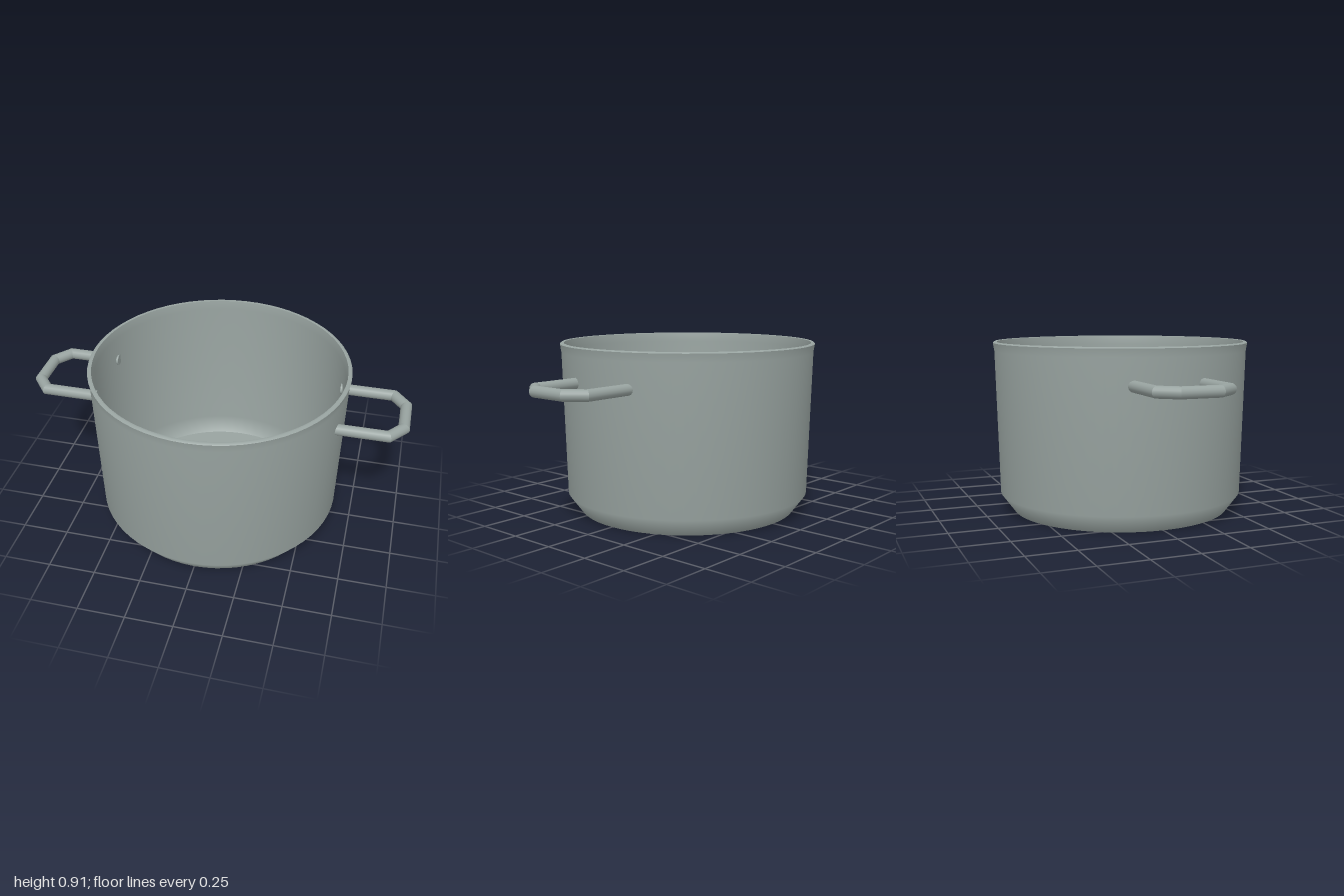
import * as THREE from 'three';

const SEGMENTS = 64;

// Surface of revolution from [radius, y] pairs
function lathe(name, profile, material) {
  const points = profile.map(([r, y]) => new THREE.Vector2(r, y));
  const mesh = new THREE.Mesh(new THREE.LatheGeometry(points, SEGMENTS), material);
  mesh.name = name;
  return mesh;
}

// Round bar along an [x, z] path with mitred corners and closed ends
function mitredBar(path, radius, sides) {
  const pts = path.map(([x, z]) => new THREE.Vector3(x, 0, z));
  const dirs = pts.slice(1).map((p, i) => p.clone().sub(pts[i]).normalize());
  const up = new THREE.Vector3(0, 1, 0);
  const position = [], normal = [], index = [];
  const add = (p, n) => {
    position.push(p.x, p.y, p.z);
    normal.push(n.x, n.y, n.z);
    return position.length / 3 - 1;
  };

  dirs.forEach((dir, i) => {
    const side = new THREE.Vector3().crossVectors(dir, up);
    const miters = [dirs[i - 1] || dir, dirs[i + 1] || dir].map(d => d.clone().add(dir).normalize());
    const start = position.length / 3;
    for (let k = 0; k <= sides; k++) {
      const a = (k / sides) * Math.PI * 2;
      const n = side.clone().multiplyScalar(Math.cos(a)).addScaledVector(up, Math.sin(a));
      miters.forEach((m, end) => {
        // Slide the ring point along the bar until it meets the mitre plane
        const slide = -radius * n.dot(m) / dir.dot(m);
        add(pts[i + end].clone().addScaledVector(n, radius).addScaledVector(dir, slide), n);
      });
      if (k < sides) {
        const b = start + k * 2;
        index.push(b, b + 2, b + 1, b + 1, b + 2, b + 3);
      }
    }
  });

  // End caps
  [0, pts.length - 1].forEach((e, last) => {
    const out = dirs[last ? dirs.length - 1 : 0].clone().multiplyScalar(last ? 1 : -1);
    const side = new THREE.Vector3().crossVectors(out, up);
    const centre = add(pts[e], out);
    for (let k = 0; k <= sides; k++) {
      const a = (k / sides) * Math.PI * 2;
      const n = side.clone().multiplyScalar(Math.cos(a)).addScaledVector(up, Math.sin(a));
      add(pts[e].clone().addScaledVector(n, radius), out);
      if (k < sides) index.push(centre, centre + 2 + k, centre + 1 + k);
    }
  });

  // Keep every face pointing the way its normals do
  const at = i => new THREE.Vector3().fromArray(position, i * 3);
  for (let t = 0; t < index.length; t += 3) {
    const [a, b, c] = index.slice(t, t + 3);
    const face = at(b).sub(at(a)).cross(at(c).sub(at(a)));
    if (face.dot(new THREE.Vector3().fromArray(normal, a * 3)) < 0) {
      index[t + 1] = c;
      index[t + 2] = b;
    }
  }

  const geometry = new THREE.BufferGeometry();
  geometry.setAttribute('position', new THREE.Float32BufferAttribute(position, 3));
  geometry.setAttribute('normal', new THREE.Float32BufferAttribute(normal, 3));
  geometry.setIndex(index);
  return geometry;
}

export function createModel() {
  const model = new THREE.Group();
  model.name = 'cookingPot';
  const steel = new THREE.MeshStandardMaterial({ color: 0x98a3a0 });
  steel.name = 'brushed steel';

  // Pot body
  const pot = new THREE.Group();
  pot.name = 'pot';
  pot.add(
    lathe('base', [[0, 0], [0.585, 0]], steel),
    lathe('outerWall', [[0.585, 0], [0.655, 0.095], [0.676, 0.86], [0.683, 0.903]], steel),
    lathe('rim', [[0.683, 0.903], [0.674, 0.91], [0.662, 0.908]], steel),
    lathe('innerWall', [[0.662, 0.908], [0.655, 0.86], [0.635, 0.1], [0.576, 0.02]], steel),
    lathe('floor', [[0.576, 0.02], [0, 0.02]], steel)
  );
  model.add(pot);

  // Loop handles, one on each side
  const half = [[0.62, 0.182], [0.902, 0.182], [0.971, 0.098]];
  const path = [...half, ...half.map(([x, z]) => [x, -z]).reverse()];
  const handleGeometry = mitredBar(path, 0.029, 16);
  ['leftHandle', 'rightHandle'].forEach((name, i) => {
    const handle = new THREE.Mesh(handleGeometry, steel);
    handle.name = name;
    handle.position.y = 0.725;
    handle.rotation.y = i * Math.PI;
    model.add(handle);
  });

  return model;
}
